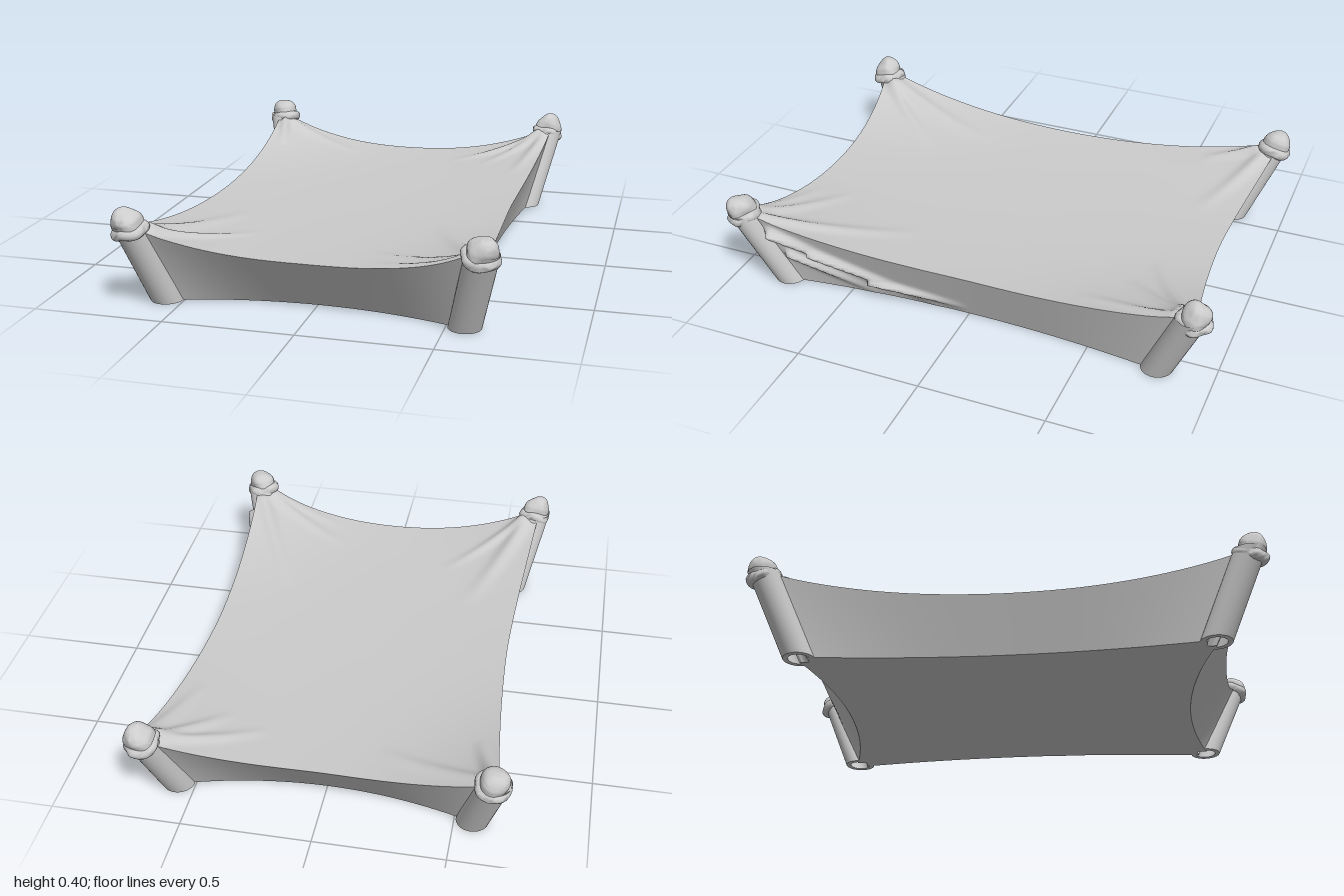
import * as THREE from 'three';
import { toCreasedNormals } from 'three/addons/utils/BufferGeometryUtils.js';

const material = new THREE.MeshStandardMaterial({ color: 0xcccccc, side: THREE.DoubleSide });
const { abs, sin, exp, pow } = Math;

// Raised folds on the sheet: [x0, z0, x1, z1, height, width]
const folds = [
  [-0.6, -0.88, -0.2, -0.7, 0.02, 0.03], [-0.62, -0.84, -0.56, -0.62, 0.03, 0.02],
  [0.6, -0.88, 0.22, -0.66, 0.022, 0.025], [0.6, -0.86, 0.38, -0.6, 0.022, 0.025],
  [0.63, -0.85, 0.54, -0.45, 0.02, 0.025], [-0.6, 0.86, -0.4, 0.3, 0.025, 0.035],
  [-0.58, 0.88, -0.27, 0.54, 0.022, 0.025], [0.62, 0.84, 0.37, 0.28, 0.022, 0.03],
  [0.58, 0.88, 0.2, 0.66, 0.02, 0.025], [0.58, 0.91, 0.22, 0.8, 0.015, 0.02],
];

// Soft ridge along a segment, fading toward its far end
function ridge(x, z, [x0, z0, x1, z1, height, width]) {
  const dx = x1 - x0, dz = z1 - z0;
  const t = THREE.MathUtils.clamp(((x - x0) * dx + (z - z0) * dz) / (dx * dx + dz * dz), 0, 1);
  const d = Math.hypot(x - x0 - t * dx, z - z0 - t * dz) / width;
  return height * (1 - t) * exp(-d * d);
}

// Point on the sagging sheet, u and v from -1 to 1
function sheetPoint(u, v) {
  const x = u * (0.61 + 0.055 * pow(abs(v), 1.6));
  const z = v * (0.86 + 0.08 * pow(abs(u), 1.8));
  const a = pow(abs(u), 2.4), b = pow(abs(v), 2.4);
  let y = 0.2 + 0.02 * a + 0.015 * b + 0.1 * a * b;
  for (const f of folds) y += ridge(x, z, f);
  return new THREE.Vector3(x, y, z);
}

// Bottom edge of the walls
const floorFront = (u, s) => new THREE.Vector3(u * 0.59, 0, s * (0.7 + 0.1 * u * u));
const floorSide = (v, s) => new THREE.Vector3(s * (0.53 + 0.06 * v * v), 0, v * 0.8);

// Bends a flat grid by a rule of a, b in -1..1
function bentGrid(name, nu, nv, rule) {
  const geo = new THREE.PlaneGeometry(2, 2, nu, nv);
  const p = geo.attributes.position;
  for (let i = 0; i < p.count; i++) {
    const q = rule(p.getX(i), p.getY(i));
    p.setXYZ(i, q.x, q.y, q.z);
  }
  geo.computeVertexNormals();
  const mesh = new THREE.Mesh(geo, material);
  mesh.name = name;
  return mesh;
}

// Walls stop at the posts
const FRONT_END = 0.915, SIDE_END = 0.937;

function endWall(name, s) {
  return bentGrid(name, 60, 10, (a, b) => {
    const u = a * s * FRONT_END;
    return floorFront(u, s).lerp(sheetPoint(u, s), (b + 1) / 2);
  });
}

// Creases on the left wall, in (z, y)
const wallFolds = [
  [0.8, 0.25, 0.5, 0.13, 0.05, 0.02], [0.64, 0.18, 0.1, 0.0, 0.045, 0.018],
  [0.4, 0.08, 0.0, 0.03, 0.045, 0.016], [0.74, 0.15, 0.38, 0.0, 0.035, 0.018],
];

function sideWall(name, s) {
  return bentGrid(name, 110, 24, (a, b) => {
    const v = -a * s * SIDE_END;
    const q = floorSide(v, s).lerp(sheetPoint(s, v), (b + 1) / 2);
    if (s > 0) {
      const fade = Math.min(1, (1 - b) * 3);
      let bulge = 0;
      for (const f of wallFolds) bulge = Math.max(bulge, ridge(q.z, q.y, f));
      q.x += fade * bulge;
    }
    return q;
  });
}

// Flat underside, notched around each post opening
function underside() {
  const pts = [];
  const add = (x, z) => pts.push(new THREE.Vector2(x, z));
  const run = (fn, s, from, to) => {
    for (let i = 0; i <= 40; i++) {
      const q = fn(THREE.MathUtils.lerp(from, to, i / 40), s);
      add(q.x, q.z);
    }
  };
  const notch = (sx, sz) => add(sx * 0.535, sz * 0.745);
  run(floorFront, 1, FRONT_END, -FRONT_END);
  notch(-1, 1);
  run(floorSide, -1, SIDE_END, -SIDE_END);
  notch(-1, -1);
  run(floorFront, -1, -FRONT_END, FRONT_END);
  notch(1, -1);
  run(floorSide, 1, -SIDE_END, SIDE_END);
  notch(1, 1);
  const mesh = new THREE.Mesh(new THREE.ShapeGeometry(new THREE.Shape(pts)).rotateX(Math.PI / 2), material);
  mesh.name = 'underside';
  return mesh;
}

// Hollow post leaning outward, cut level at the ground
function post(sx, sz) {
  const profile = [[0, 0.26], [0.042, 0.26], [0.042, 0], [0.062, 0], [0.062, 0.33]]
    .map(([r, y]) => new THREE.Vector2(r, y));
  const lean = new THREE.Matrix4().set(
    1, sx * 0.24, 0, sx * 0.568,
    0, 1, 0, 0,
    0, sz * 0.42, 1, sz * 0.78,
    0, 0, 0, 1);
  const geo = toCreasedNormals(new THREE.LatheGeometry(profile, 32).applyMatrix4(lean), 0.7);
  const mesh = new THREE.Mesh(geo, material);
  mesh.name = 'post';
  return mesh;
}

// Lumpy bundle of gathered hide
function lump(name, geo, amount, seed) {
  const p = geo.attributes.position, q = new THREE.Vector3();
  for (let i = 0; i < p.count; i++) {
    q.fromBufferAttribute(p, i);
    const n = sin(q.x * 62 + seed) * sin(q.y * 55 + seed * 2) + 0.6 * sin(q.z * 80 + seed * 3 + q.x * 40);
    q.multiplyScalar(1 + amount * n);
    p.setXYZ(i, q.x, q.y, q.z);
  }
  const mesh = new THREE.Mesh(toCreasedNormals(geo, 1.2), material);
  mesh.name = name;
  return mesh;
}

function knot(sx, sz, seed, amount) {
  const group = new THREE.Group();
  group.name = 'knot';
  const cap = lump('knotCap', new THREE.SphereGeometry(0.056, 32, 24), amount, seed);
  cap.position.y = 0.017;
  const collar = lump('knotCollar', new THREE.TorusGeometry(0.046, 0.023, 14, 40).rotateX(Math.PI / 2), amount, seed + 2);
  collar.position.y = -0.012;
  group.add(cap, collar);
  group.position.set(sx * 0.643, 0.325, sz * 0.924);
  group.rotation.set(sz * 0.25, 0, -sx * 0.2);
  return group;
}

export function createModel() {
  const model = new THREE.Group();
  model.name = 'stretchedHide';
  model.add(
    bentGrid('sheet', 110, 150, (a, b) => sheetPoint(a, -b)),
    endWall('frontWall', 1), endWall('backWall', -1),
    sideWall('leftWall', 1), sideWall('rightWall', -1),
    underside());
  let seed = 1;
  for (const sx of [-1, 1]) {
    for (const sz of [-1, 1]) {
      const smooth = sx < 0 && sz < 0;
      model.add(post(sx, sz), knot(sx, sz, seed, smooth ? 0.05 : 0.09));
      seed += 1.7;
    }
  }
  return model;
}
